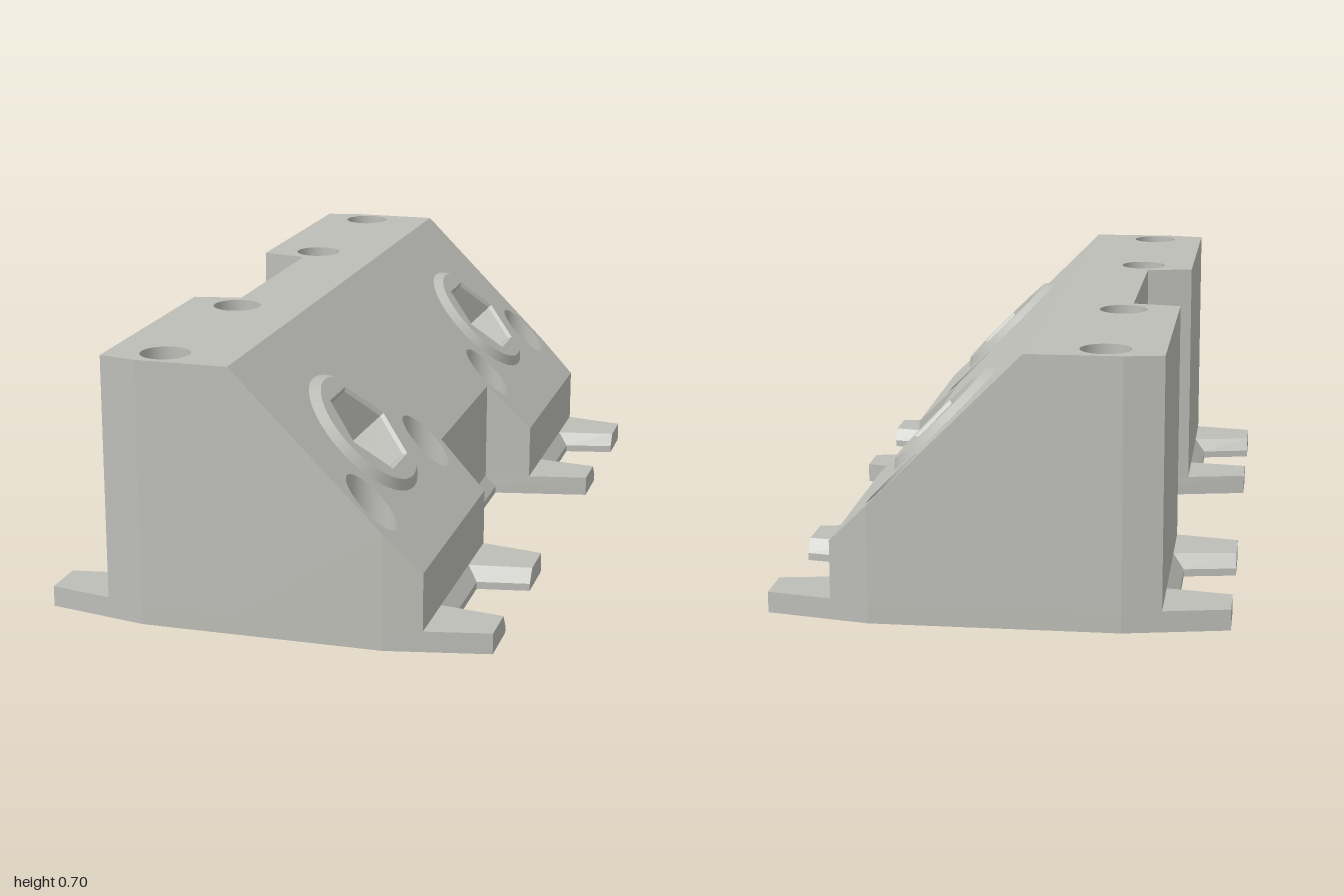
import * as THREE from 'three';

const TOP = 0.703, SLOPE = 0.628, SEAM = SLOPE - TOP, BASE = 0.055;
const roof = (x) => Math.min(TOP, SLOPE - x);

// Plan outlines are lists of [x, z]; one quarter is mirrored to the rest.
const flipZ = (pts) => pts.map(([x, z]) => [x, -z]).reverse();
const flipX = (pts) => pts.map(([x, z]) => [-x, z]).reverse();
const half = (quarter) => [...quarter, ...flipZ(quarter)];
const whole = (quarter) => [...half(quarter), ...flipX(half(quarter))];

function circle(cx, cz, r, n = 40, xScale = 1) {
  return Array.from({ length: n }, (_, i) => {
    const a = (i / n) * Math.PI * 2;
    return [cx + Math.sin(a) * r * xScale, cz + Math.cos(a) * r];
  });
}

// Flat-shaded wall between two matching outlines.
function wall(low, lowY, high, highY, closed = true) {
  const pos = [];
  const n = low.length;
  for (let i = 0; i < (closed ? n : n - 1); i++) {
    const j = (i + 1) % n;
    const a = [low[i][0], lowY(low[i][0]), low[i][1]];
    const b = [low[j][0], lowY(low[j][0]), low[j][1]];
    const c = [high[j][0], highY(high[j][0]), high[j][1]];
    const d = [high[i][0], highY(high[i][0]), high[i][1]];
    pos.push(...a, ...b, ...c, ...a, ...c, ...d);
  }
  const g = new THREE.BufferGeometry();
  g.setAttribute('position', new THREE.Float32BufferAttribute(pos, 3));
  g.computeVertexNormals();
  return g;
}

// Flat or sloped sheet with holes, laid over the plan.
function sheet(outline, holes, height) {
  const toVec = (pts) => pts.map(([x, z]) => new THREE.Vector2(x, -z));
  const shape = new THREE.Shape(toVec(outline));
  shape.holes = holes.map((h) => new THREE.Path(toVec(h)));
  const g = new THREE.ShapeGeometry(shape);
  const p = g.attributes.position;
  for (let i = 0; i < p.count; i++) p.setXYZ(i, p.getX(i), height(p.getX(i)), -p.getY(i));
  g.computeVertexNormals();
  return g;
}

// Open smooth tube standing between two heights.
const tube = (rTop, rLow, y0, y1) =>
  new THREE.CylinderGeometry(rTop, rLow, y1 - y0, 40, 1, true).translate(0, (y0 + y1) / 2, 0);

export function createModel() {
  const grey = new THREE.MeshStandardMaterial({ color: 0xbebeb9, side: THREE.DoubleSide });
  grey.name = 'grey';
  const model = new THREE.Group();
  model.name = 'clampBlock';
  const add = (parent, name, geometry) => {
    const mesh = new THREE.Mesh(geometry, grey);
    mesh.name = name;
    parent.add(mesh);
    return mesh;
  };
  const at = (y) => () => y;

  const screws = [];
  for (const x of [-0.27, 0.27]) for (const z of [-0.915, -0.375, 0.375, 0.915]) screws.push([x, z]);
  const bolts = [-0.65, 0.65];
  const boltX = 0.1725, collarR = 0.193, boreR = 0.065, shankR = 0.037;

  // Toothed base plate with bevelled inner edges
  const foot = whole([[0.32, 1], [0.59, 0.945], [0.59, 0.8], [0.45, 0.77],
    [0.45, 0.52], [0.59, 0.495], [0.59, 0.345], [0.32, 0.29]]);
  const footTop = whole([[0.32, 1], [0.59, 0.945], [0.59, 0.825], [0.42, 0.795],
    [0.42, 0.49], [0.59, 0.465], [0.59, 0.345], [0.29, 0.285]]);
  const shanks = screws.map(([x, z]) => circle(x, z, shankR));
  add(model, 'baseUnderside', sheet(foot, shanks, at(0)));
  add(model, 'baseEdge', wall(foot, at(0), foot, at(0.02)));
  add(model, 'baseBevel', wall(foot, at(0.02), footTop, at(BASE)));
  add(model, 'baseTop', sheet(footTop, [...shanks,
    ...bolts.map((z) => circle(0, z, 0.01))].slice(0, 8), at(BASE)));

  // Body walls, flat top and sloped face
  const side = half([[0.32, 1], [0.42, 0.98], [0.42, 0.31], [0.29, 0.285]]);
  const right = [[SEAM, 1], ...side, [SEAM, -1]];
  const left = [[SEAM, -1], ...flipX(side), [SEAM, 1]];
  const openings = (s) => screws.filter(([x]) => x * s > 0).map(([x, z]) => circle(x, z, boreR));
  add(model, 'slopedSideWalls', wall(right, at(BASE), right, roof, false));
  add(model, 'tallSideWalls', wall(left, at(BASE), left, roof, false));
  add(model, 'flatTop', sheet(left, openings(-1), roof));
  add(model, 'slopedFace', sheet(right, [...openings(1),
    ...bolts.map((z) => circle(boltX, z, collarR, 40, Math.SQRT1_2))], roof));

  // Countersunk vertical screw holes
  for (const [x, z] of screws) {
    const hole = new THREE.Group();
    hole.name = 'screwHole';
    hole.position.set(x, 0, z);
    const bore = tube(boreR, boreR, 0.12, 0.3);
    const p = bore.attributes.position;
    for (let i = 0; i < p.count; i++) if (p.getY(i) > 0.2) p.setY(i, roof(x + p.getX(i)));
    add(hole, 'bore', bore);
    add(hole, 'countersink', tube(boreR, shankR, 0.09, 0.12));
    add(hole, 'shankHole', tube(shankR, shankR, 0, 0.09));
    model.add(hole);
  }

  // Raised collars with hexagonal sockets on the slope
  const hexOuter = circle(0, 0, 0.138, 6), hex = circle(0, 0, 0.13, 6);
  for (const z of bolts) {
    const socket = new THREE.Group();
    socket.name = 'hexSocket';
    socket.position.set(boltX, SLOPE - boltX, z);
    socket.rotation.z = -Math.PI / 4;
    add(socket, 'collarEdge', tube(0.17, collarR, 0, 0.02));
    add(socket, 'collarFace', sheet(circle(0, 0, 0.17), [hexOuter], at(0.02)));
    add(socket, 'socketChamfer', wall(hex, at(0.01), hexOuter, at(0.02)));
    add(socket, 'socketWalls', wall(hex, at(-0.1), hex, at(0.01)));
    add(socket, 'socketFloor', sheet(hex, [circle(0, 0, 0.065)], at(-0.1)));
    add(socket, 'boltBore', tube(0.065, 0.065, -0.32, -0.1));
    add(socket, 'boltBoreEnd', sheet(circle(0, 0, 0.065), [], at(-0.32)));
    model.add(socket);
  }
  return model;
}
